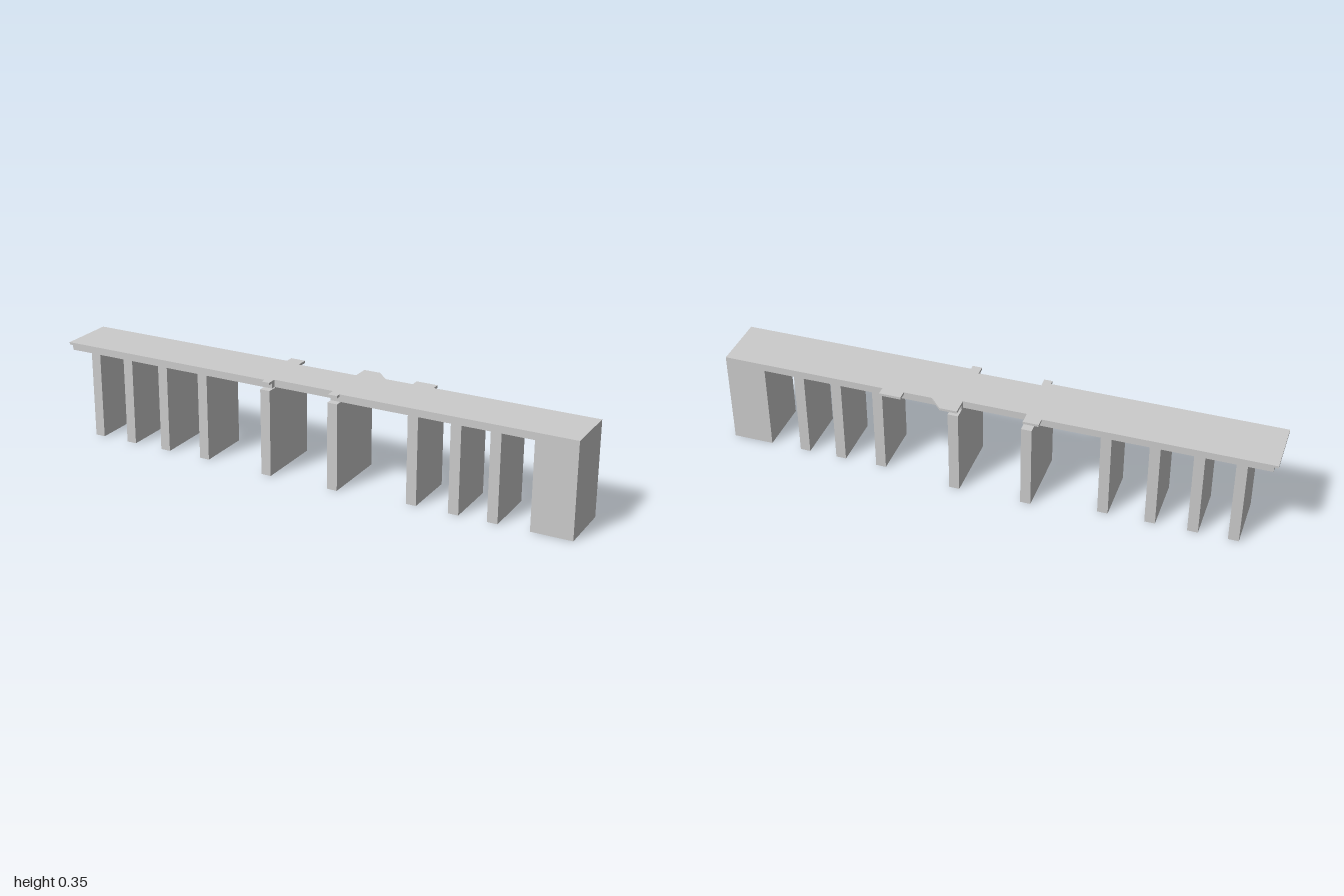
import * as THREE from 'three';

const TOP = 0.352, LEDGE = 0.343, SOFFIT = 0.325;
const FRONT = 0.12, BACK = -0.09;

export function createModel() {
  const group = new THREE.Group();
  const material = new THREE.MeshStandardMaterial({ color: 0xcccccc, flatShading: true });

  const add = (name, geometry) => {
    const mesh = new THREE.Mesh(geometry, material);
    mesh.name = name;
    group.add(mesh);
  };
  const box = (name, x0, x1, y0, y1, z0, z1) => {
    const g = new THREE.BoxGeometry(x1 - x0, y1 - y0, z1 - z0);
    g.translate((x0 + x1) / 2, (y0 + y1) / 2, (z0 + z1) / 2);
    add(name, g);
  };
  // Plan outline of [x, z] points extruded upwards from y0 to y1
  const slab = (name, plan, y0, y1) => {
    const shape = new THREE.Shape(plan.map(([x, z]) => new THREE.Vector2(x, -z)));
    const g = new THREE.ExtrudeGeometry(shape, { depth: y1 - y0, bevelEnabled: false });
    g.rotateX(-Math.PI / 2);
    g.translate(0, y0, 0);
    add(name, g);
  };

  // Thin road surface with overhanging lookouts and a narrower middle span
  slab('roadSurface', [
    [-1, FRONT], [-0.157, FRONT], [-0.157, 0.139], [-0.127, 0.139], [-0.127, 0.102],
    [0.105, 0.102], [0.105, 0.139], [0.14, 0.139], [0.14, FRONT], [1, FRONT],
    [1, BACK], [0.395, BACK], [0.395, -0.122], [0.315, -0.122], [0.315, BACK],
    [0.21, BACK], [0.165, -0.138], [0.102, -0.138], [0.102, -0.075],
    [-0.13, -0.075], [-0.13, -0.122], [-0.187, -0.122], [-0.187, BACK], [-1, BACK],
  ], LEDGE, TOP);

  // Thick deck girder, also narrowed in the middle
  slab('deckGirder', [
    [-0.985, FRONT], [-0.127, FRONT], [-0.127, 0.102], [0.105, 0.102], [0.105, FRONT],
    [1, FRONT], [1, BACK], [0.102, BACK], [0.102, -0.075], [-0.13, -0.075],
    [-0.13, BACK], [-0.985, BACK],
  ], SOFFIT, LEDGE);

  // Wall piers under the approach spans
  for (const x of [-0.881, -0.738, -0.586, -0.416, 0.417, 0.574, 0.716]) {
    box('approachPier', x - 0.019, x + 0.019, 0, SOFFIT, BACK, FRONT);
  }

  // Wider piers on each side of the middle span, with the bearing up to the deck
  for (const x of [-0.144, 0.122]) {
    box('mainPier', x - 0.019, x + 0.019, 0, 0.322, -0.125, 0.139);
    box('mainBearing', x - 0.019, x + 0.019, 0.322, SOFFIT, -0.075, 0.102);
  }

  // Solid end abutment
  box('abutment', 0.85, 1, 0, SOFFIT, BACK, FRONT);

  return group;
}
